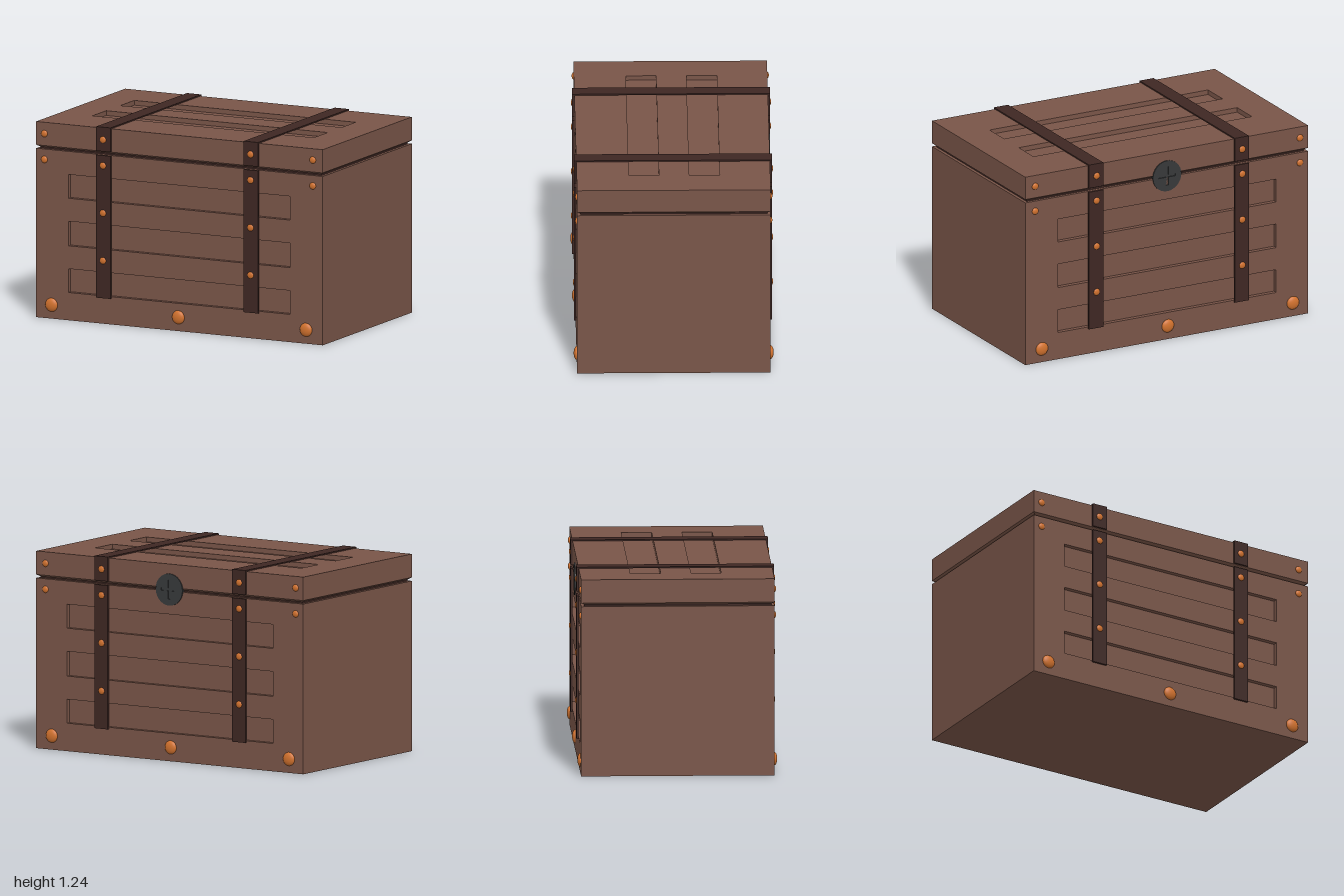
import * as THREE from 'three';

const mat = (color) => new THREE.MeshStandardMaterial({ color, roughness: 0.8 });

export function createModel() {
  const chest = new THREE.Group();
  chest.name = 'chest';
  const wood = mat(0x795548), band = mat(0x3e2723), copper = mat(0xd2722e), iron = mat(0x37393a);

  const add = (name, geometry, material, parent = chest) => {
    const mesh = new THREE.Mesh(geometry, material);
    mesh.name = name;
    parent.add(mesh);
    return mesh;
  };
  // Box given by its lower and upper corners
  const block = (name, a, b, material, parent) => {
    const g = new THREE.BoxGeometry(b[0] - a[0], b[1] - a[1], b[2] - a[2]);
    g.translate((a[0] + b[0]) / 2, (a[1] + b[1]) / 2, (a[2] + b[2]) / 2);
    return add(name, g, material, parent);
  };
  const rect = (path, x0, y0, x1, y1) => {
    path.moveTo(x0, y0).lineTo(x1, y0).lineTo(x1, y1).lineTo(x0, y1).closePath();
    return path;
  };
  // Flat board with long rectangular recesses cut through it
  const D = 0.03;
  const board = (y0, y1, slots) => {
    const shape = rect(new THREE.Shape(), -1, y0, 1, y1);
    for (const [a, b] of slots) shape.holes.push(rect(new THREE.Path(), -0.775, a, 0.77, b));
    return new THREE.ExtrudeGeometry(shape, { depth: D, bevelEnabled: false });
  };

  // Body: solid core with slotted boards on front and back
  const bodyTop = 1.066;
  block('bodyCore', [-1, 0, -0.6 + D], [1, bodyTop, 0.6 - D], wood);
  const slots = [[0.175, 0.325], [0.47, 0.625], [0.77, 0.92]];
  add('frontBoard', board(0, bodyTop, slots), wood).position.z = 0.6 - D;
  add('backBoard', board(0, bodyTop, slots), wood).position.z = -0.6;

  // Dark seam between body and lid
  block('seam', [-0.98, bodyTop - 0.01, -0.58], [0.98, 1.085, 0.58], band);

  // Lid: lower edge tapers in towards the seam
  const lid = new THREE.Group();
  lid.name = 'lid';
  chest.add(lid);
  const taper = block('lidEdge', [-1, 1.076, -0.6], [1, 1.088, 0.6], wood, lid).geometry;
  const p = taper.attributes.position;
  for (let i = 0; i < p.count; i++) {
    if (p.getY(i) < 1.08) p.setXYZ(i, p.getX(i) * 0.98, p.getY(i), p.getZ(i) * 0.967);
  }
  taper.computeVertexNormals();
  block('lidCore', [-1, 1.088, -0.6], [1, 1.235 - D, 0.6], wood, lid);
  const top = add('lidBoard', board(-0.6, 0.6, [[-0.277, -0.09], [0.098, 0.287]]), wood, lid);
  top.rotation.x = -Math.PI / 2;
  top.position.y = 1.235 - D;

  // Domed rivet, flattened against the face on the given side
  const dome = new THREE.SphereGeometry(1, 20, 8, 0, Math.PI * 2, 0, Math.PI / 2).rotateX(Math.PI / 2);
  const rivet = (name, x, y, z, r, height, side) => {
    const m = add(name, dome, copper);
    m.position.set(x, y, z * side);
    m.scale.set(r, r, height);
    if (side < 0) m.rotation.y = Math.PI;
  };

  // Straps over the lid and down both faces
  const T = 0.613;
  for (const x of [-0.525, 0.505]) {
    const [x0, x1] = [x - 0.05, x + 0.05];
    block('lidStrapTop', [x0, 1.235, -T], [x1, 1.243, T], band, lid);
    for (const s of [1, -1]) {
      const [z0, z1] = s > 0 ? [0.6, T] : [-T, -0.6];
      block('lidStrapEnd', [x0, 1.09, z0], [x1, 1.235, z1], band, lid);
      block('bodyStrap', [x0, 0.163, z0], [x1, 1.064, z1], band);
    }
  }

  for (const s of [1, -1]) {
    for (const y of [1.163, 1.0, 0.7, 0.4]) {
      for (const x of [-0.528, 0.502]) rivet('strapRivet', x, y, T - 0.004, 0.023, 0.012, s);
    }
    for (const y of [1.163, 1.0]) {
      for (const x of [-0.943, 0.93]) rivet('cornerRivet', x, y, 0.599, 0.022, 0.012, s);
    }
    for (const x of [-0.893, -0.008, 0.883]) rivet('baseStud', x, 0.087, 0.599, 0.043, 0.021, s);
  }

  // Round lock plate on the back with a cross-shaped slot
  const lock = new THREE.Group();
  lock.name = 'lock';
  lock.position.set(0, 1.075, -0.596);
  lock.rotation.y = Math.PI;
  chest.add(lock);
  const plate = new THREE.Shape().absarc(0, 0, 0.1, 0, Math.PI * 2);
  const a = 0.008, h = 0.06;
  const cross = [[-a, -h], [a, -h], [a, -a], [h, -a], [h, a], [a, a], [a, h], [-a, h], [-a, a], [-h, a], [-h, -a], [-a, -a]];
  plate.holes.push(new THREE.Path(cross.map(([x, y]) => new THREE.Vector2(x, y))));
  add('lockPlate', new THREE.ExtrudeGeometry(plate, { depth: 0.011, bevelEnabled: false, curveSegments: 16 }), iron, lock);
  add('lockBacking', new THREE.CylinderGeometry(0.095, 0.095, 0.03, 32).rotateX(Math.PI / 2), iron, lock).position.z = -0.011;

  return chest;
}
